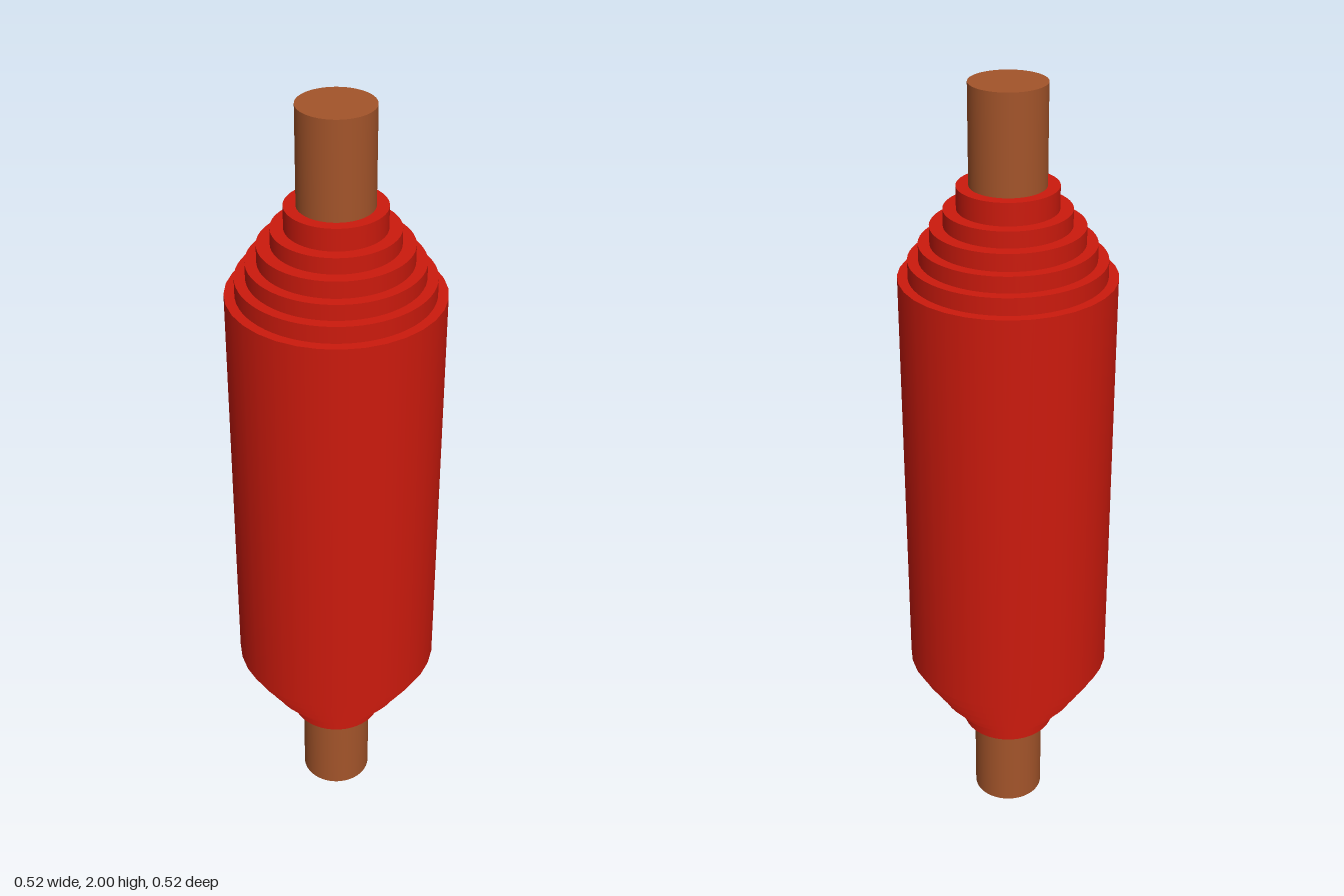
import * as THREE from 'three';

export function createModel() {
  const model = new THREE.Group();
  const wood = new THREE.MeshStandardMaterial({ color: 0xa3542a });
  const red = new THREE.MeshStandardMaterial({ color: 0xcc1a0d });

  // Upright cylinder centred on the middle of the roller
  const addCylinder = (name, radius, height, sides, material) => {
    const mesh = new THREE.Mesh(new THREE.CylinderGeometry(radius, radius, height, sides), material);
    mesh.name = name;
    mesh.position.y = 1;
    model.add(mesh);
  };

  // Wooden core showing at both ends
  addCylinder('coreRod', 0.091, 2, 64, wood);

  // Wound layers: each wider one is shorter, so both ends step down
  const layers = [
    [0.12, 1.525],
    [0.151, 1.415],
    [0.183, 1.335],
    [0.21, 1.25],
    [0.236, 1.17],
  ];
  layers.forEach(([radius, height], i) => addCylinder(`innerLayer${i + 1}`, radius, height, 64, red));

  // Outermost layer
  addCylinder('outerLayer', 0.261, 1.085, 32, red);

  return model;
}
